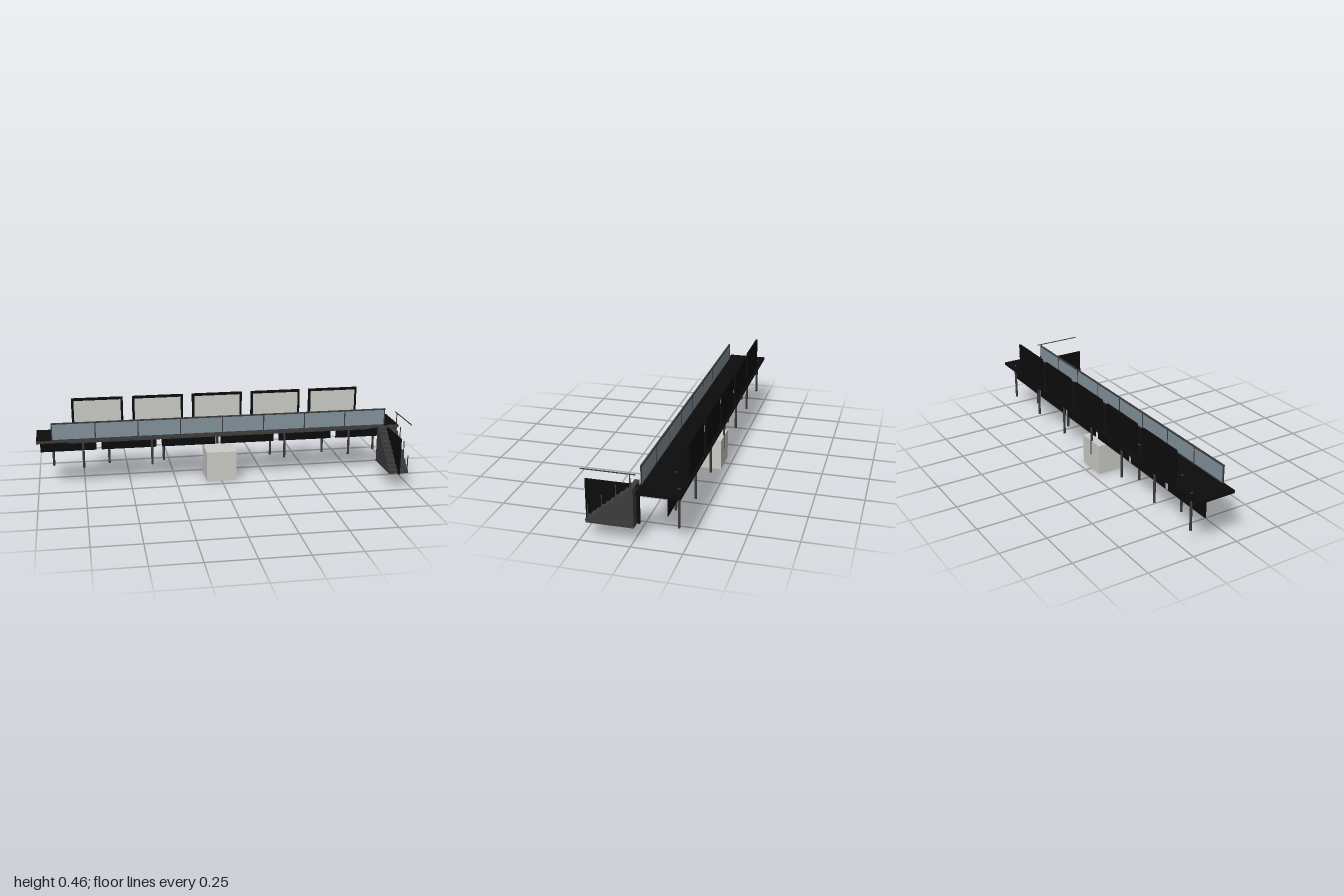
import * as THREE from 'three';

const mat = (name, color) => {
  const m = new THREE.MeshStandardMaterial({ color });
  m.name = name;
  return m;
};

export function createModel() {
  const black = mat('black', 0x0c0c0c);
  const grey = mat('dark grey', 0x3c3c3c);
  const glass = mat('blue grey glass', 0x84939d);
  const pale = mat('pale grey', 0xcccbc8);

  const model = new THREE.Group();
  model.name = 'raisedWalkway';

  const add = (name, geometry, material, parent = model) => {
    const mesh = new THREE.Mesh(geometry, material);
    mesh.name = name;
    parent.add(mesh);
    return mesh;
  };
  // Box given by its limits on each axis
  const box = (name, material, [x0, x1], [y0, y1], [z0, z1], parent) => {
    const g = new THREE.BoxGeometry(x1 - x0, y1 - y0, z1 - z0);
    g.translate((x0 + x1) / 2, (y0 + y1) / 2, (z0 + z1) / 2);
    return add(name, g, material, parent);
  };
  const around = (c, half) => [c - half, c + half];
  const group = (name) => {
    const g = new THREE.Group();
    g.name = name;
    model.add(g);
    return g;
  };

  // Deck with a grey front edge and trim
  box('deck', black, [-1, 1], [0.27, 0.284], [-0.24, -0.027]);
  box('deckEdge', grey, [-1, 1], [0.272, 0.285], [-0.027, -0.025]);
  box('deckTrim', grey, [-0.835, 0.835], [0.269, 0.283], [-0.025, -0.015]);

  // Legs: a back row and a front row
  const legs = group('legs');
  const leg = (x, z) => {
    const g = new THREE.CylinderGeometry(0.0065, 0.0065, 0.201, 12);
    g.translate(x, 0.1855, z);
    add('leg', g, grey, legs);
  };
  for (let i = -3; i <= 3; i++) leg(i * 0.305, -0.21);
  for (const x of [-0.752, -0.375, 0.375, 0.75]) leg(x, -0.148);

  // Hanging panels under the deck
  const skirts = group('skirtPanels');
  for (let i = 0; i < 6; i++) {
    box('skirtPanel', black, around((i - 2.5) * 0.333, 0.152), [0.176, 0.27], around(-0.177, 0.002), skirts);
  }

  // Glass balustrade: eight panes, thin posts and a cap rail
  const balustrade = group('balustrade');
  const pitch = 0.229;
  for (let i = 0; i < 8; i++) {
    box('glassPane', glass, around((i - 3.5) * pitch, pitch / 2 - 0.002), [0.288, 0.374], around(-0.032, 0.002), balustrade);
  }
  for (let i = -4; i <= 4; i++) {
    box('balustradePost', grey, around(i * pitch, 0.003), [0.284, 0.376], around(-0.032, 0.003), balustrade);
  }
  box('capRail', grey, [-0.919, 0.919], [0.373, 0.38], around(-0.032, 0.004), balustrade);
  box('baseRail', grey, [-0.919, 0.919], [0.284, 0.289], around(-0.032, 0.004), balustrade);

  // Five framed screens along the back
  const screens = group('screens');
  for (let i = -2; i <= 2; i++) {
    const x = i * 0.333;
    box('screenBody', black, around(x, 0.141), [0.284, 0.46], [-0.229, -0.219], screens);
    box('screenBezel', black, around(x, 0.131), [0.292, 0.452], [-0.219, -0.2165], screens);
    box('screenFace', pale, around(x, 0.128), [0.3, 0.447], [-0.2165, -0.2155], screens);
  }

  // Stairs: ten solid steps extruded across the width
  const stairs = group('stairs');
  const profile = new THREE.Shape();
  const front = 0.225, run = 0.0235, rise = 0.02, base = 0.085;
  profile.moveTo(front, base);
  for (let i = 0; i < 10; i++) {
    profile.lineTo(front - i * run, base + (i + 1) * rise);
    profile.lineTo(front - (i + 1) * run, base + (i + 1) * rise);
  }
  profile.lineTo(front - 10 * run, base);
  const steps = new THREE.ExtrudeGeometry(profile, { depth: 0.105, bevelEnabled: false });
  steps.rotateY(-Math.PI / 2); // profile x becomes z, depth runs toward -x
  steps.translate(0.977, 0, 0);
  add('steps', steps, grey, stairs);

  // Upright panel through the middle of the stairs
  box('stairPanel', black, around(0.923, 0.004), [base, 0.2845], [-0.025, 0.24], stairs);

  // Handrail with posts that follow the steps
  box('handrail', grey, around(0.977, 0.002), [0.358, 0.362], [-0.025, 0.24], stairs);
  for (let i = 0; i < 4; i++) {
    const top = 0.18 + i * 0.06;
    box('handrailPost', grey, around(0.977, 0.002), [top - 0.08, top], around(0.211 - i * 0.0695, 0.002), stairs);
  }

  // Block standing under the deck
  box('block', pale, [-0.083, 0.083], [0, 0.167], [-0.214, -0.048]);

  return model;
}
